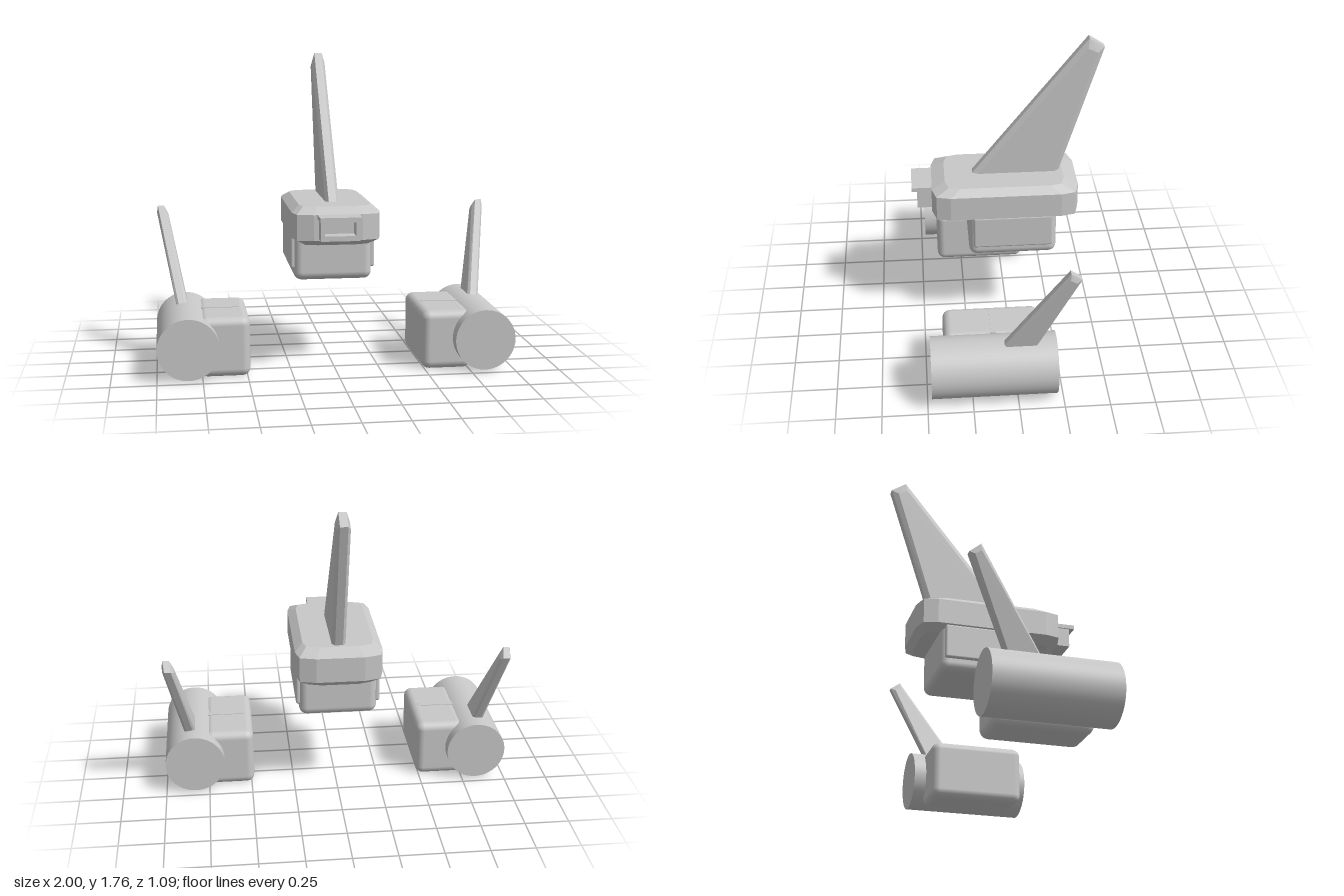
import * as THREE from 'three';
import { ConvexGeometry } from 'three/addons/geometries/ConvexGeometry.js';
import { RoundedBoxGeometry } from 'three/addons/geometries/RoundedBoxGeometry.js';

const grey = new THREE.MeshStandardMaterial({ color: 0xc8c8c8 });
grey.name = 'light grey';

function add(parent, name, geometry, x = 0, y = 0, z = 0) {
  const mesh = new THREE.Mesh(geometry, grey);
  mesh.name = name;
  mesh.position.set(x, y, z);
  parent.add(mesh);
  return mesh;
}

// Box given by its min and max on each axis, rounded when r > 0
function box(parent, name, [x0, x1], [y0, y1], [z0, z1], r = 0) {
  const size = [x1 - x0, y1 - y0, z1 - z0];
  const geometry = r ? new RoundedBoxGeometry(...size, 3, r) : new THREE.BoxGeometry(...size);
  return add(parent, name, geometry, (x0 + x1) / 2, (y0 + y1) / 2, (z0 + z1) / 2);
}

// Fin with bevelled edges; corners are [z, y]: lead base, lead tip, trail tip, trail base
function fin(corners, half, edge, xAt) {
  const [a, b, c, d] = corners.map(([z, y]) => new THREE.Vector2(z, y));
  const mix = (p, q, t) => p.clone().lerp(q, t);
  const inner = [
    mix(a, d, 0.07),
    mix(mix(b, c, 0.25), mix(a, d, 0.25), 0.05),
    mix(mix(b, c, 0.75), mix(a, d, 0.75), 0.05),
    mix(a, d, 0.95),
  ];
  const points = [];
  for (const s of [-1, 1]) {
    for (const p of [a, b, c, d]) points.push(new THREE.Vector3(xAt(p.y) + s * edge, p.y, p.x));
    for (const p of inner) points.push(new THREE.Vector3(xAt(p.y) + s * half, p.y, p.x));
  }
  return new ConvexGeometry(points);
}

// Softened rectangular ring of the deck
function deckRing(y, hx, front, back) {
  const mid = (front + back) / 2, hz = (front - back) / 2;
  const points = [];
  for (const sx of [-1, 1]) for (const sz of [-1, 1]) {
    for (const [fx, fz] of [[1, 0.75], [0.92, 0.94], [0.55, 1]]) {
      points.push(new THREE.Vector3(sx * fx * hx, y, mid + sz * fz * hz));
    }
  }
  return points;
}

export function createModel() {
  const model = new THREE.Group();
  model.name = 'model';

  // Central body: bevelled deck over a rounded lower block
  const body = new THREE.Group();
  body.name = 'centralBody';
  model.add(body);
  add(body, 'deck', new ConvexGeometry([
    ...deckRing(0.725, 0.19, 0.37, -0.365),
    ...deckRing(0.76, 0.246, 0.432, -0.405),
    ...deckRing(0.903, 0.246, 0.432, -0.405),
    ...deckRing(0.938, 0.2, 0.355, -0.325),
  ]));
  box(body, 'lowerBlock', [-0.222, 0.222], [0.495, 0.78], [-0.278, 0.225], 0.045);
  for (const s of [-1, 1]) {
    box(body, 'sidePanel', [s * 0.225 - 0.015, s * 0.225 + 0.015], [0.562, 0.76], [-0.255, 0.2], 0.012);
  }

  // Tall central fin
  add(body, 'tallFin', fin([[0.225, 0.9], [-0.46, 1.756], [-0.545, 1.7], [-0.292, 0.9]], 0.039, 0.022, () => 0));

  // Front bracket: lip and open frame
  box(body, 'bracketLip', [-0.115, 0.115], [0.88, 0.904], [0.38, 0.545]);
  const frame = new THREE.Shape();
  frame.moveTo(-0.107, 0.77).lineTo(0.107, 0.77).lineTo(0.107, 0.882).lineTo(-0.107, 0.882).closePath();
  const opening = new THREE.Path();
  opening.moveTo(-0.085, 0.798).lineTo(-0.085, 0.872).lineTo(0.085, 0.872).lineTo(0.085, 0.798).closePath();
  frame.holes.push(opening);
  add(body, 'bracketFrame', new THREE.ExtrudeGeometry(frame, { depth: 0.13, bevelEnabled: false }), 0, 0, 0.385);

  // Side pods, mirrored
  for (const s of [-1, 1]) {
    const pod = new THREE.Group();
    pod.name = s > 0 ? 'leftPod' : 'rightPod';
    model.add(pod);
    const span = (a, b) => (s > 0 ? [a, b] : [-b, -a]);
    const barrel = new THREE.CylinderGeometry(0.171, 0.171, 0.688, 48);
    barrel.rotateX(Math.PI / 2);
    add(pod, 'barrel', barrel, s * 0.828, 0.182, 0.131);
    box(pod, 'podBlock', span(0.484, 0.765), [0, 0.335], [-0.143, 0.4], 0.045);
    box(pod, 'blockRidge', span(0.53, 0.745), [0.33, 0.338], [0.11, 0.14]);
    add(pod, 'podFin', fin([[0.105, 0.3], [-0.262, 0.868], [-0.322, 0.822], [-0.09, 0.3]],
      0.032, 0.018, (y) => s * (0.853 + (y - 0.345) * 0.208)));
  }
  return model;
}
